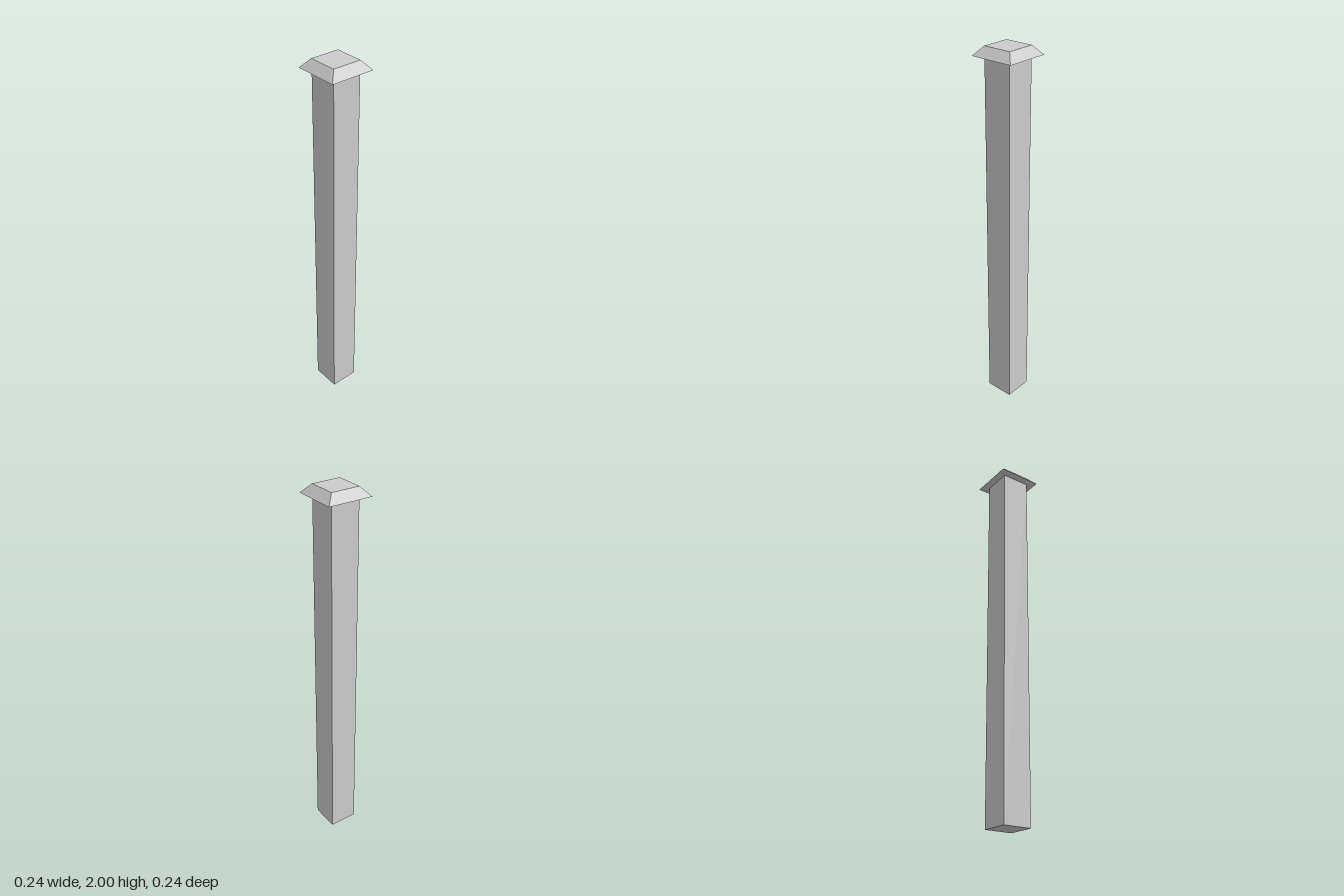
import * as THREE from 'three';

const HEIGHT = 2;
const POST_WIDTH = 0.155;
const CAP_WIDTH = 0.238;
const CAP_HEIGHT = 0.046;

export function createModel() {
  const model = new THREE.Group();
  model.name = 'squarePost';
  const material = new THREE.MeshStandardMaterial({ color: 0xcccccc, flatShading: true });

  // Square shaft, from the ground to the underside of the cap
  const shaftHeight = HEIGHT - CAP_HEIGHT;
  const shaft = new THREE.Mesh(new THREE.BoxGeometry(POST_WIDTH, shaftHeight, POST_WIDTH), material);
  shaft.name = 'shaft';
  shaft.position.y = shaftHeight / 2;
  model.add(shaft);

  // Overhanging cap: a four-sided frustum tapering to the shaft's width
  const capGeometry = new THREE.CylinderGeometry(
    POST_WIDTH * Math.SQRT1_2, CAP_WIDTH * Math.SQRT1_2, CAP_HEIGHT, 4
  ).rotateY(Math.PI / 4);
  const cap = new THREE.Mesh(capGeometry, material);
  cap.name = 'cap';
  cap.position.y = HEIGHT - CAP_HEIGHT / 2;
  model.add(cap);

  return model;
}
